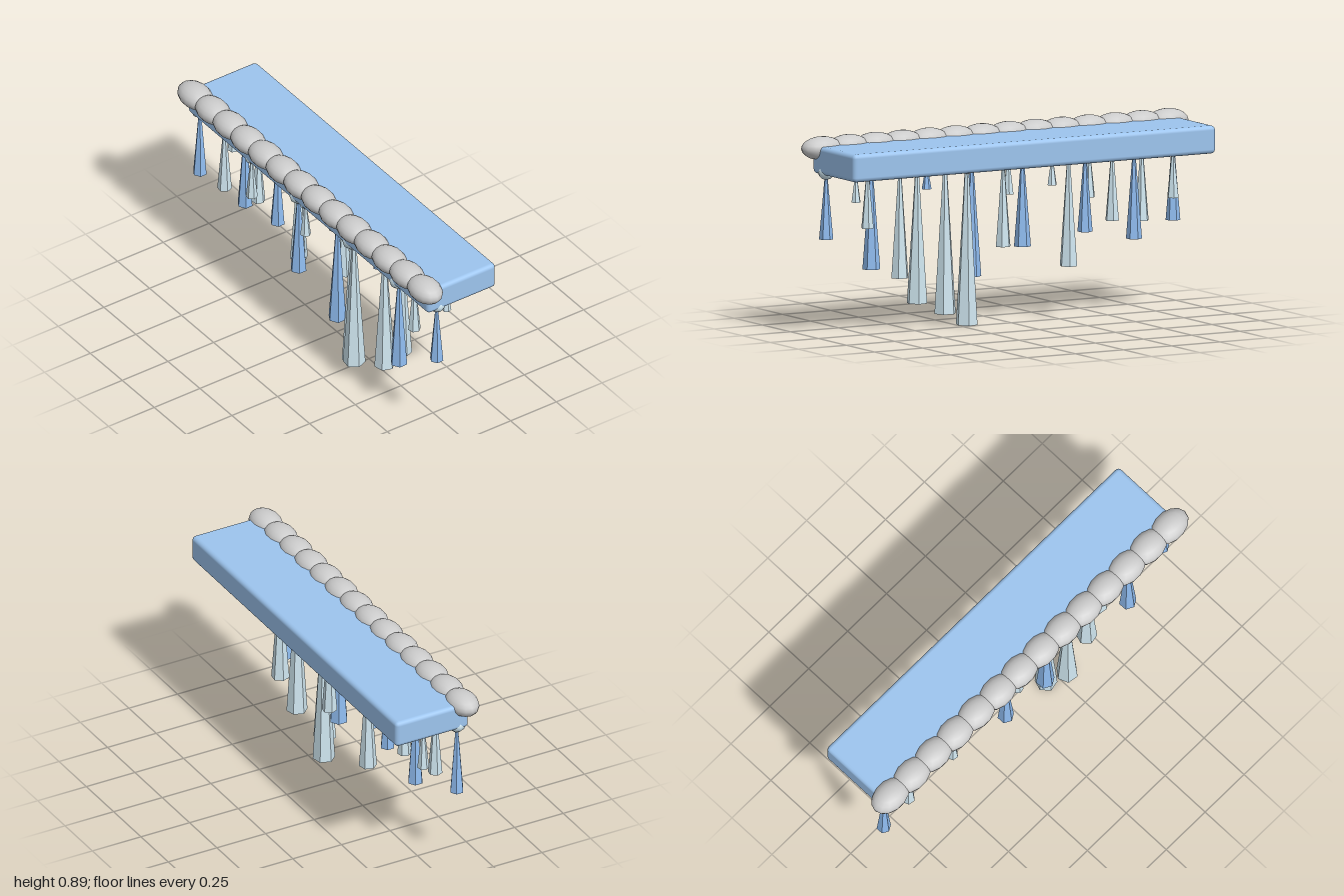
import * as THREE from 'three';
import { RoundedBoxGeometry } from 'three/addons/geometries/RoundedBoxGeometry.js';

const slabBlue = new THREE.MeshStandardMaterial({ color: 0x9cc4ee });
const snowWhite = new THREE.MeshStandardMaterial({ color: 0xf6f6f6 });
const frost = new THREE.MeshStandardMaterial({ color: 0xcfe6f0 });
const paleIce = new THREE.MeshStandardMaterial({ color: 0xcfe6f0, flatShading: true });
const blueIce = new THREE.MeshStandardMaterial({ color: 0x8fbcf0, flatShading: true });

// Icicles: x, z, bottom height, base radius, 1 for blue ice
const ICICLES = [
  [-0.906, 0.115, 0.388, 0.033, 1],
  [-0.83, -0.015, 0.51, 0.027, 0],
  [-0.735, 0.1, 0.4, 0.033, 0],
  [-0.66, 0.04, 0.33, 0.036, 1],
  [-0.55, 0.045, 0.42, 0.032, 0],
  [-0.48, 0.13, 0.52, 0.027, 0],
  [-0.406, 0.04, 0.38, 0.034, 1],
  [-0.297, 0, 0.237, 0.041, 0],
  [-0.208, -0.007, 0.61, 0.022, 0],
  [-0.128, 0.12, 0.323, 0.038, 1],
  [-0.06, 0.13, 0.563, 0.025, 0],
  [0.045, -0.005, 0.35, 0.035, 0],
  [0.147, 0.1, 0.21, 0.043, 1],
  [0.2, 0.053, 0, 0.051, 0],
  [0.283, 0.104, 0.05, 0.051, 0],
  [0.404, 0.06, 0.627, 0.022, 1],
  [0.455, 0.058, 0.115, 0.048, 0],
  [0.56, 0.031, 0.24, 0.041, 0],
  [0.656, 0.12, 0.275, 0.04, 1],
  [0.705, 0.07, 0.47, 0.029, 0],
  [0.82, -0.025, 0.607, 0.022, 0],
  [0.908, 0.09, 0.432, 0.032, 1],
];
const ROOT_Y = 0.735;

function add(parent, name, geometry, material, x, y, z) {
  const mesh = new THREE.Mesh(geometry, material);
  mesh.name = name;
  mesh.position.set(x, y, z);
  parent.add(mesh);
  return mesh;
}

export function createModel() {
  const model = new THREE.Group();
  model.name = 'icicleLedge';

  // Ledge with softened edges
  add(model, 'ledge', new RoundedBoxGeometry(1.88, 0.127, 0.375, 2, 0.02), slabBlue, 0, 0.7885, -0.0275);

  // Row of overlapping snow mounds along the front edge
  const snow = new THREE.Group();
  snow.name = 'snowRow';
  const moundGeometry = new THREE.SphereGeometry(1, 14, 10);
  for (let i = 0; i < 14; i++) {
    add(snow, 'snowMound', moundGeometry, snowWhite, -0.897 + i * 0.138, 0.837, 0.147)
      .scale.set(0.1, 0.053, 0.07);
  }
  model.add(snow);

  // Hanging icicles, each flaring downward from a frosty knob
  const knobGeometry = new THREE.SphereGeometry(1, 8, 6);
  ICICLES.forEach(([x, z, bottom, radius, blue], i) => {
    const icicle = new THREE.Group();
    icicle.name = 'icicle';
    icicle.position.set(x, 0, z);
    const length = ROOT_Y - bottom;
    const shaft = new THREE.CylinderGeometry(radius * 0.15, radius, length, 6);
    add(icicle, 'icicleShaft', shaft, blue ? blueIce : paleIce, 0, bottom + length / 2, 0)
      .rotation.y = i * 0.7;
    add(icicle, 'frostKnob', knobGeometry, frost, 0, ROOT_Y, 0)
      .scale.set(radius * 1.2, radius * 1.05, radius * 1.2);
    model.add(icicle);
  });

  return model;
}
